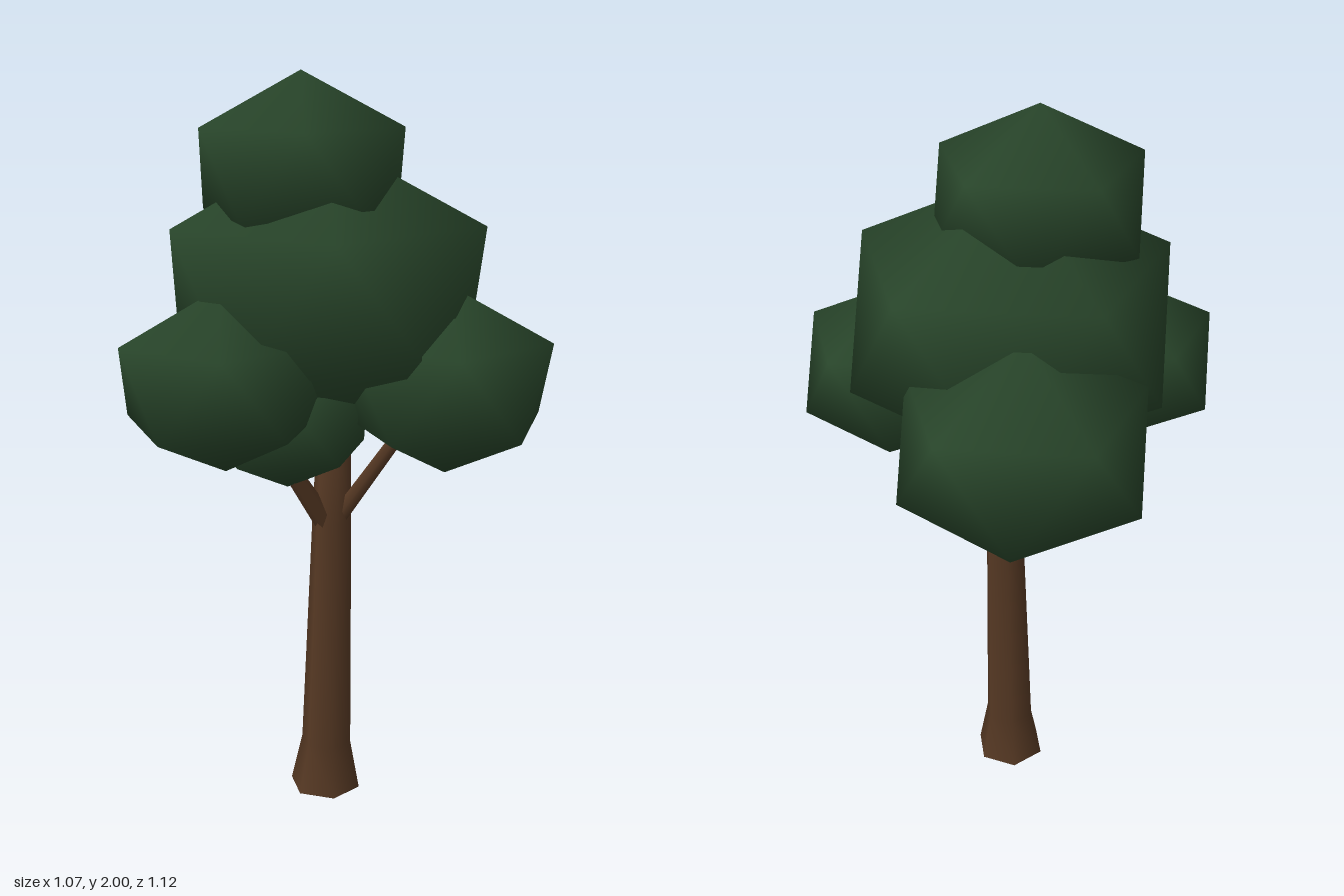
import * as THREE from 'three';
import { mergeVertices } from 'three/addons/utils/BufferGeometryUtils.js';

const foliage = new THREE.MeshStandardMaterial({ color: 0x28452a });
foliage.name = 'dark green foliage';
const bark = new THREE.MeshStandardMaterial({ color: 0x553823 });
bark.name = 'brown bark';

// Smooth-shaded icosahedron standing on a vertex, squashed in height
function leafClump(name, [x, y, z], radius, height) {
  let geo = new THREE.IcosahedronGeometry(1, 0);
  geo.deleteAttribute('normal');
  geo.deleteAttribute('uv');
  geo = mergeVertices(geo, 1e-3);
  geo.rotateZ(Math.atan(2 / (1 + Math.sqrt(5))));
  geo.rotateY(Math.PI);
  geo.scale(radius, height, radius);
  geo.computeVertexNormals();
  const mesh = new THREE.Mesh(geo, foliage);
  mesh.name = name;
  mesh.position.set(x, y, z);
  return mesh;
}

// Tapered six-sided limb between two points
function branch(name, from, to, r0, r1) {
  const a = new THREE.Vector3(...from);
  const b = new THREE.Vector3(...to);
  const dir = b.clone().sub(a);
  const mesh = new THREE.Mesh(new THREE.CylinderGeometry(r1, r0, dir.length(), 6), bark);
  mesh.name = name;
  mesh.position.copy(a).add(b).multiplyScalar(0.5);
  mesh.quaternion.setFromUnitVectors(new THREE.Vector3(0, 1, 0), dir.normalize());
  return mesh;
}

export function createModel() {
  const tree = new THREE.Group();
  tree.name = 'tree';

  // Hexagonal trunk with a flared foot, leaning slightly
  const profile = [[0, 0], [0.1, 0], [0.1, 0.001], [0.071, 0.14], [0.055, 0.8], [0.048, 1.03], [0, 1.05]]
    .map(([r, y]) => new THREE.Vector2(r, y));
  const trunk = new THREE.Mesh(new THREE.LatheGeometry(profile, 6, Math.PI / 2), bark);
  trunk.name = 'trunk';
  trunk.position.set(-0.07, 0.004, 0.043);
  trunk.rotation.set(-0.012, 0, -0.026);
  tree.add(trunk);

  // Branches reaching into the side clumps
  tree.add(
    branch('leftBranch', [-0.04, 0.8, 0.035], [0.2, 1.15, 0.06], 0.026, 0.018),
    branch('backBranch', [-0.05, 0.8, 0.02], [-0.14, 1.12, -0.17], 0.026, 0.018),
    branch('frontBranch', [-0.06, 0.8, 0.05], [-0.16, 1.03, 0.16], 0.03, 0.02)
  );

  // Crown
  tree.add(
    leafClump('topClump', [-0.112, 1.757, 0.075], 0.3, 0.243),
    leafClump('mainClump', [-0.06, 1.45, 0.025], 0.468, 0.38),
    leafClump('leftClump', [0.267, 1.225, 0.062], 0.307, 0.25),
    leafClump('backClump', [-0.22, 1.265, -0.27], 0.35, 0.285),
    leafClump('frontClump', [-0.255, 1.25, 0.305], 0.295, 0.238),
    leafClump('lowClump', [-0.147, 1.115, 0.12], 0.246, 0.195)
  );
  return tree;
}
